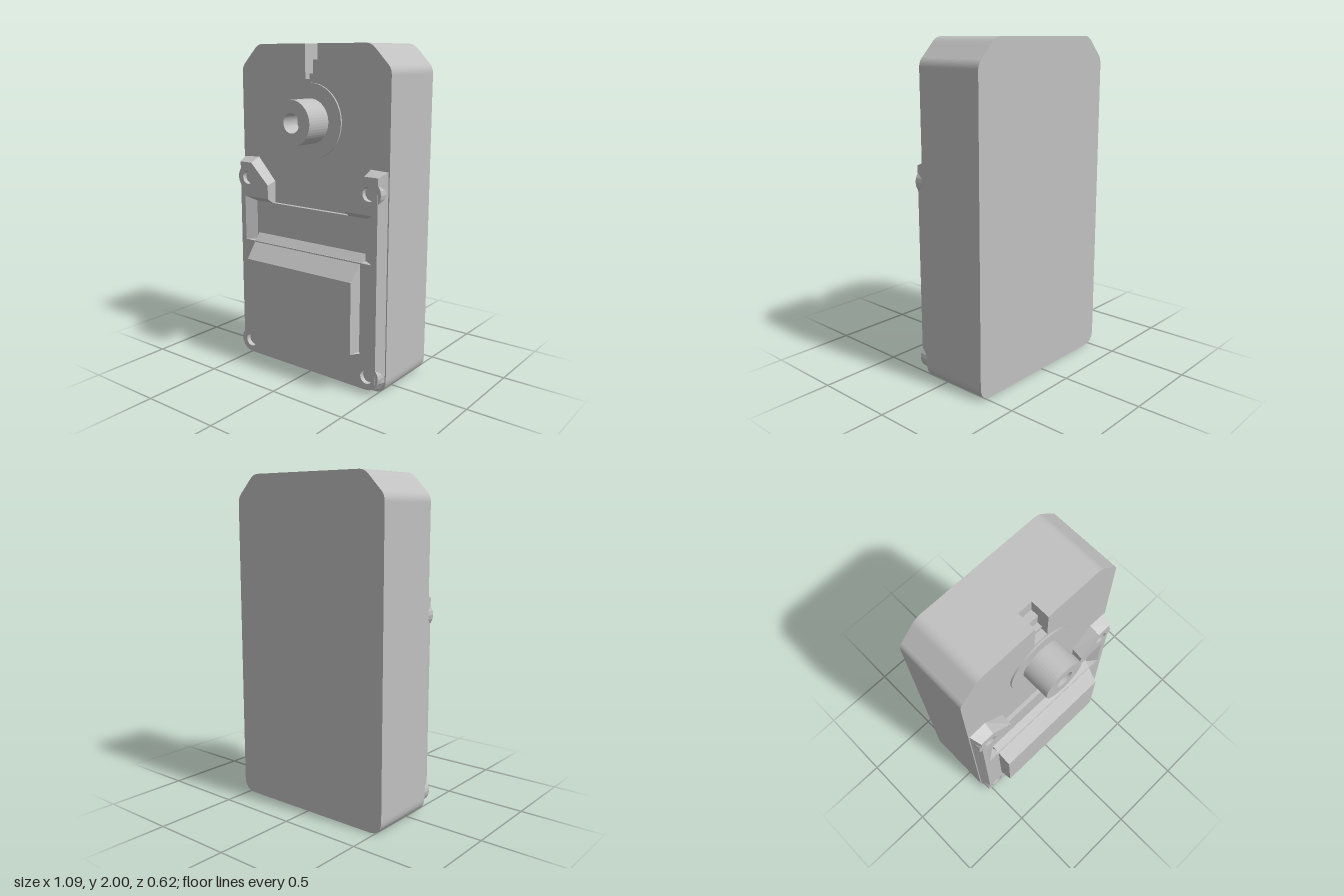
import * as THREE from 'three';

export function createModel() {
  const group = new THREE.Group();
  const grey = new THREE.MeshStandardMaterial({ color: 0xc0c0c0 });
  grey.name = 'grey plastic';

  const add = (name, geometry, x = 0, y = 0, z = 0) => {
    const mesh = new THREE.Mesh(geometry, grey);
    mesh.name = name;
    mesh.position.set(x, y, z);
    group.add(mesh);
    return mesh;
  };
  const extrude = (shape, depth) =>
    new THREE.ExtrudeGeometry(shape, { depth, bevelEnabled: false, curveSegments: 10 });
  const box = (name, x0, x1, y0, y1, z0, z1) =>
    add(name, new THREE.BoxGeometry(x1 - x0, y1 - y0, z1 - z0),
      (x0 + x1) / 2, (y0 + y1) / 2, (z0 + z1) / 2);
  const circle = (path, x, y, r) => path.absarc(x, y, r, 0, Math.PI * 2, false);

  // Housing outline: rounded bottom corners, softened chamfers on top
  const housingShape = (notched) => {
    const s = new THREE.Shape();
    s.moveTo(-0.46, 0);
    s.lineTo(0.46, 0);
    s.quadraticCurveTo(0.545, 0, 0.545, 0.085);
    s.lineTo(0.545, 1.83);
    s.quadraticCurveTo(0.545, 1.868, 0.518, 1.892);
    s.lineTo(0.44, 1.972);
    s.quadraticCurveTo(0.412, 2, 0.375, 2);
    if (notched) {
      s.lineTo(0.045, 2);
      s.lineTo(0.045, 1.8);
      s.lineTo(-0.045, 1.8);
      s.lineTo(-0.045, 2);
    }
    s.lineTo(-0.375, 2);
    s.quadraticCurveTo(-0.412, 2, -0.44, 1.972);
    s.lineTo(-0.518, 1.892);
    s.quadraticCurveTo(-0.545, 1.868, -0.545, 1.83);
    s.lineTo(-0.545, 0.085);
    s.quadraticCurveTo(-0.545, 0, -0.46, 0);
    return s;
  };
  add('housingBack', extrude(housingShape(false), 0.325), 0, 0, -0.31);
  add('housingFront', extrude(housingShape(true), 0.115), 0, 0, 0.015);

  // Stepped floor of the notch in the top edge
  box('notchMiddleStep', -0.045, 0.045, 1.8, 1.91, 0.01, 0.06);
  box('notchLowerStep', -0.045, 0.045, 1.8, 1.83, 0.05, 0.09);

  // Raised cover: each point is front x, y then base x, y of the sloping walls
  const half = [
    [0.45, 0.03, 0.46, 0.005], [0.49, 0.042, 0.51, 0.025], [0.515, 0.075, 0.538, 0.075],
    [0.515, 1.285, 0.538, 1.31], [0.425, 1.285, 0.42, 1.315], [0.29, 1.155, 0.29, 1.175],
    [0.29, 1.07, 0.29, 1.023], [0.48, 1.07, 0.387, 1.023], [0.48, 0.79, 0.387, 0.79],
  ];
  const outline = [...half, ...half.map(([a, b, c, d]) => [-a, b, -c, d]).reverse()];
  const coverShape = new THREE.Shape(outline.map(([x, y]) => new THREE.Vector2(x, y)));
  const screws = [];
  for (const x of [-0.455, 0.455]) for (const y of [0.11, 1.19]) screws.push([x, y]);
  for (const [x, y] of screws) coverShape.holes.push(circle(new THREE.Path(), x, y, 0.042));
  const cover = extrude(coverShape, 0.07);
  const pos = cover.attributes.position;
  for (let i = 0; i < pos.count; i++) {
    if (pos.getZ(i) > 0.01) continue;
    const p = outline.find(([x, y]) =>
      Math.abs(x - pos.getX(i)) < 1e-4 && Math.abs(y - pos.getY(i)) < 1e-4);
    if (p) pos.setXY(i, p[2], p[3]);
  }
  cover.computeVertexNormals();
  add('raisedCover', cover, 0, 0, 0.13);
  box('pocketFloor', -0.43, 0.43, 0.75, 1.04, 0.12, 0.155);

  // Round screw bosses with sunken screws
  for (const [x, y] of screws) {
    const ring = circle(new THREE.Shape(), 0, 0, 0.08);
    ring.holes.push(circle(new THREE.Path(), 0, 0, 0.042));
    add('screwBoss', extrude(ring, 0.068), x, y, 0.13);
    const screw = new THREE.CylinderGeometry(0.042, 0.042, 0.04, 20);
    add('screw', screw.rotateX(Math.PI / 2), x, y, 0.15);
  }

  // Protruding lower block: side profile (z, y) swept across x, narrowing forward
  const profile = [[0.12, 0.245], [0.2, 0.245], [0.28, 0.26], [0.28, 0.69], [0.155, 0.835], [0.12, 0.835]];
  const block = extrude(new THREE.Shape(profile.map(([z, y]) => new THREE.Vector2(z, y))), 0.82);
  block.translate(0, 0, -0.41).rotateY(-Math.PI / 2);
  const bp = block.attributes.position;
  for (let i = 0; i < bp.count; i++) {
    if (bp.getZ(i) > 0.27) bp.setX(i, bp.getX(i) * 0.965);
  }
  block.computeVertexNormals();
  add('lowerBlock', block);

  // Round base disc and hollow shaft
  const disc = new THREE.CylinderGeometry(0.22, 0.22, 0.02, 48);
  add('shaftDisc', disc.rotateX(Math.PI / 2), 0, 1.56, 0.13);
  const tube = circle(new THREE.Shape(), 0, 0, 0.131);
  tube.holes.push(circle(new THREE.Path(), 0, 0, 0.058));
  add('shaft', new THREE.ExtrudeGeometry(tube, {
    depth: 0.182, bevelEnabled: false, curveSegments: 24,
  }), 0, 1.56, 0.13);
  const bore = new THREE.CylinderGeometry(0.058, 0.058, 0.06, 24);
  add('boreFloor', bore.rotateX(Math.PI / 2), 0, 1.56, 0.16);

  return group;
}
